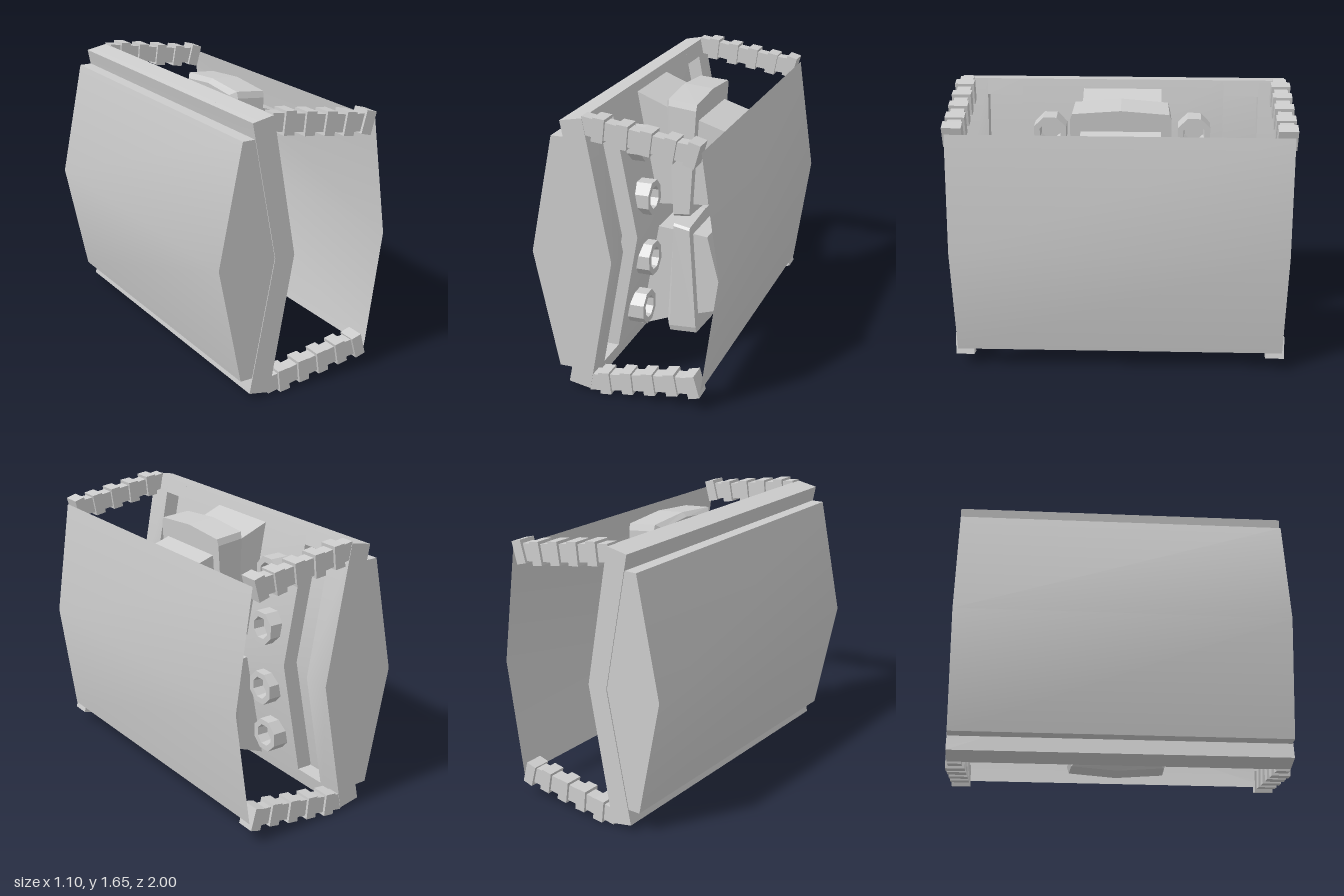
import * as THREE from 'three';
import { toCreasedNormals } from 'three/addons/utils/BufferGeometryUtils.js';

const MID = 0.826; // height of the mirror plane; parts are built around it
const HALF = 0.985; // half length in z

const grey = new THREE.MeshStandardMaterial({ color: 0xcccccc, side: THREE.DoubleSide });
grey.name = 'light grey';

function add(parent, name, geometry) {
  const mesh = new THREE.Mesh(geometry, grey);
  mesh.name = name;
  parent.add(mesh);
  return mesh;
}

// Side profile in x/y, extruded from z0 to z1; shallow bends stay smooth
function prism(points, z0, z1) {
  const shape = new THREE.Shape(points.map(([x, y]) => new THREE.Vector2(x, y)));
  const geo = new THREE.ExtrudeGeometry(shape, { depth: z1 - z0, bevelEnabled: false });
  geo.translate(0, 0, z0);
  return toCreasedNormals(geo, 0.5);
}

// Faceted solid through rings of equal point count, closed at both ends
function loft(rings) {
  const pos = [];
  const tri = (a, b, c) => pos.push(...a, ...b, ...c);
  const n = rings[0].length;
  for (let r = 0; r < rings.length - 1; r++) {
    for (let i = 0; i < n; i++) {
      const j = (i + 1) % n;
      const [a, b, c, d] = [rings[r][i], rings[r][j], rings[r + 1][j], rings[r + 1][i]];
      tri(a, b, c);
      tri(a, c, d);
    }
  }
  const first = rings[0], last = rings[rings.length - 1];
  for (let i = 1; i < n - 1; i++) {
    tri(first[0], first[i + 1], first[i]);
    tri(last[0], last[i], last[i + 1]);
  }
  const geo = new THREE.BufferGeometry();
  geo.setAttribute('position', new THREE.Float32BufferAttribute(pos, 3));
  geo.computeVertexNormals();
  return geo;
}

// Ring of the bowed plate: x leans from top to bottom, ends bulge at z = 0
function plateRing(xTop, xBottom, halfZ, inset) {
  const top = 0.764 - inset, bottom = 0.004 + inset;
  const outline = [
    [top, 0], [top - 0.022, -halfZ + 0.012], [top - 0.06, -halfZ],
    [bottom + 0.035, -halfZ], [bottom + 0.02, -halfZ + 0.012], [bottom, 0],
    [bottom + 0.02, halfZ - 0.012], [bottom + 0.035, halfZ],
    [top - 0.06, halfZ], [top - 0.022, halfZ - 0.012],
  ];
  return outline.map(([y, z]) => [xBottom + (xTop - xBottom) * (y / 0.764), y, z]).reverse();
}

// Eight-sided hollow lug pointing along +x
function lugGeometry(length) {
  const profile = [[0.105, 0], [0.105, length], [0.068, length], [0.062, length - 0.07], [0, length - 0.07]];
  const geo = new THREE.LatheGeometry(profile.map(([r, y]) => new THREE.Vector2(r, y)), 8, Math.PI / 8);
  const flat = geo.toNonIndexed();
  flat.rotateZ(-Math.PI / 2);
  flat.computeVertexNormals();
  return flat;
}

// Ribbed arm that joins the wall to the cover sheet
function ribbedArm(z) {
  const arm = new THREE.Group();
  arm.name = 'ribbedArm';
  const path = [[-0.23, 0.772], [-0.125, 0.755], [0.008, 0.732], [0.14, 0.712], [0.272, 0.69], [0.397, 0.679]];
  const tilt = [0, -0.11, -0.1, -0.14, -0.18, -0.27];
  path.forEach(([x, y], i) => {
    if (i === 0) return;
    const rib = add(arm, 'rib', new THREE.BoxGeometry(0.066, 0.133, 0.112));
    rib.position.set(x, y, z);
    rib.rotation.z = tilt[i];
    const [px, py] = path[i - 1];
    const link = add(arm, 'link', new THREE.BoxGeometry(Math.hypot(x - px, y - py), 0.1, 0.08));
    link.position.set((x + px) / 2, (y + py) / 2, z);
    link.rotation.z = Math.atan2(y - py, x - px);
  });
  return arm;
}

// Everything above the mirror plane
function buildHalf(name) {
  const half = new THREE.Group();
  half.name = name;

  for (const side of [-1, 1]) {
    half.add(ribbedArm(side * 0.942));
    // lugs on the wall
    for (const [y, end] of [[0.517, -0.07], [0.192, -0.03]]) {
      const lug = add(half, 'lug', lugGeometry(0.16));
      lug.position.set(end - 0.16, y, side * 0.435);
    }
    // wall above the end of the slot
    const z = side * 0.715;
    add(half, 'slotEnd', prism(
      [[-0.315, 0.792], [-0.22, 0.81], [-0.202, 0.714], [-0.3, 0.714]], z - 0.105, z + 0.105));
  }

  // central mechanism: inner block, bowed plate, outer block
  add(half, 'innerBlock', prism(
    [[-0.21, 0.755], [-0.01, 0.675], [0.03, 0.084], [-0.09, 0.074]], -0.235, 0.235));
  add(half, 'bowedPlate', loft([
    plateRing(-0.03, 0.02, 0.245, 0.025),
    plateRing(0.0, 0.03, 0.285, 0.0),
    plateRing(0.178, 0.13, 0.295, 0.015),
  ]));
  add(half, 'outerBlock', prism(
    [[0.1, 0.64], [0.17, 0.619], [0.343, 0.564], [0.225, 0.104], [0.13, 0.094], [0.1, 0.092]], -0.235, 0.235));
  return half;
}

export function createModel() {
  const model = new THREE.Group();
  model.name = 'panelAssembly';
  const body = new THREE.Group();
  body.name = 'body';
  body.position.y = MID;
  model.add(body);

  // outer hull bulging away from the wall
  add(body, 'outerHull', prism(
    [[-0.407, 0.694], [-0.332, 0.694], [-0.195, 0], [-0.332, -0.694], [-0.407, -0.694], [-0.55, 0]], -HALF + 0.005, HALF - 0.005));

  // bent wall: thin back layer and a front layer interrupted by two slots
  add(body, 'wallBack', prism(
    [[-0.35, 0.785], [-0.315, 0.792], [-0.165, 0], [-0.315, -0.792], [-0.35, -0.785], [-0.195, 0]], -HALF, HALF));
  const front = [[-0.315, 0.792], [-0.22, 0.81], [-0.07, 0], [-0.22, -0.81], [-0.315, -0.792], [-0.165, 0]];
  for (const [z0, z1] of [[-HALF, -0.82], [-0.61, 0.61], [0.82, HALF]]) {
    add(body, 'wallFront', prism(front, z0, z1));
  }

  // thin bent cover sheet
  const sheet = new THREE.PlaneGeometry(2 * HALF, 1.392, 1, 2);
  sheet.rotateY(Math.PI / 2);
  const p = sheet.attributes.position;
  for (let i = 0; i < p.count; i++) p.setX(i, 0.548 - 0.1 * Math.abs(p.getY(i)) / 0.696);
  sheet.computeVertexNormals();
  add(body, 'coverSheet', sheet);

  // the lower half is the upper one turned over
  body.add(buildHalf('upperHalf'));
  const lower = buildHalf('lowerHalf');
  lower.rotation.x = Math.PI;
  body.add(lower);

  return model;
}
